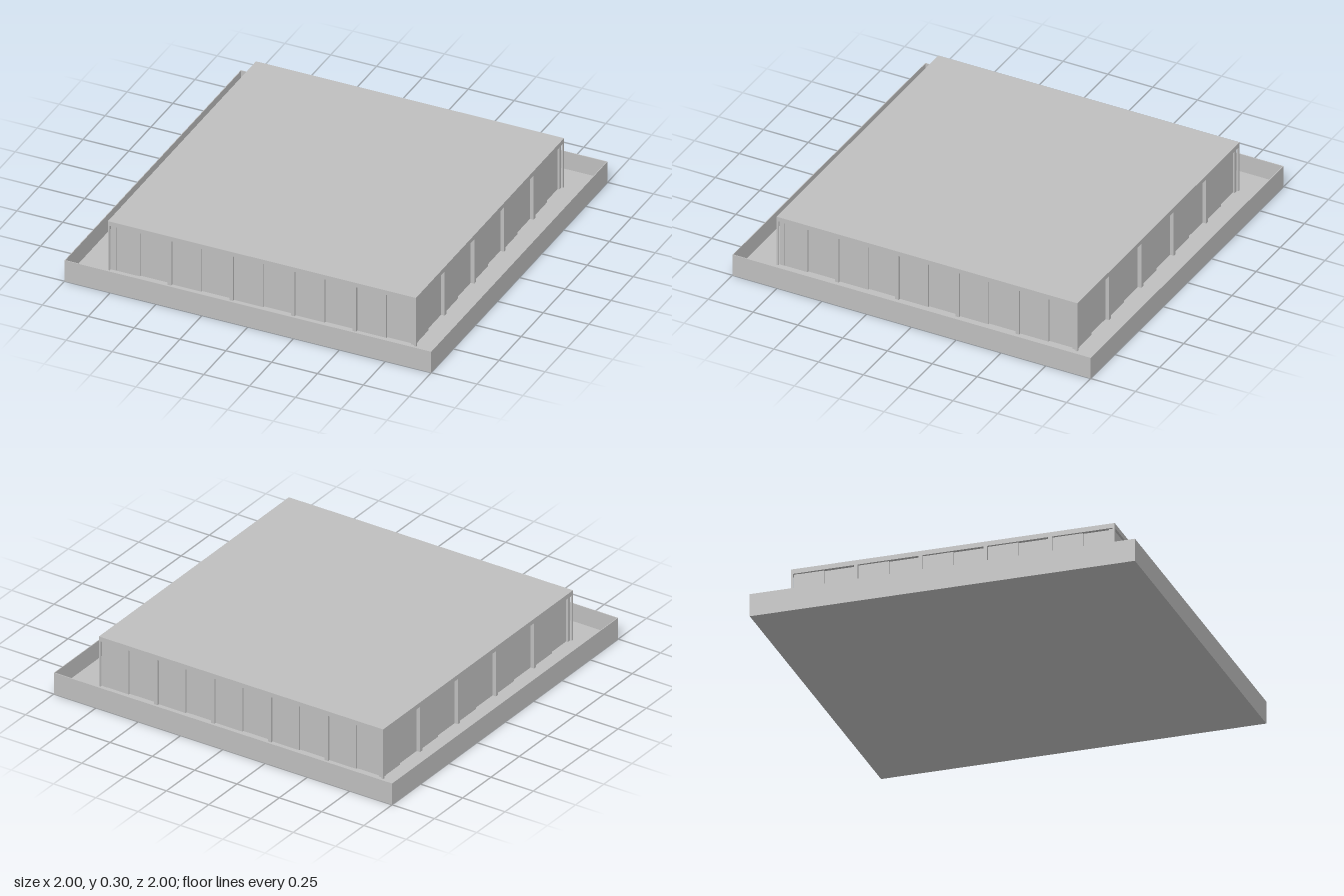
import * as THREE from 'three';

export function createModel() {
  const model = new THREE.Group();
  const grey = new THREE.MeshStandardMaterial({ color: 0xbfbfbf });
  grey.name = 'light grey';

  const box = (parent, name, w, h, d, x, y, z) => {
    const mesh = new THREE.Mesh(new THREE.BoxGeometry(w, h, d), grey);
    mesh.name = name;
    mesh.position.set(x, y + h / 2, z);
    parent.add(mesh);
  };

  const floorY = 0.02, eaveY = 0.275, topY = 0.3, half = 0.84;
  const frame = 0.01, bays = 5, bayWidth = (2 * half) / bays;
  const storey = eaveY - floorY;

  // Terrace, solid core and roof
  box(model, 'terraceFloor', 2, floorY, 2, 0, 0, 0);
  box(model, 'core', 1.62, storey, 1.62, 0, floorY, 0);
  box(model, 'roof', 2 * half, topY - eaveY, 2 * half, 0, eaveY, 0);

  // Four identical sides
  for (let s = 0; s < 4; s++) {
    const side = new THREE.Group();
    side.name = 'side' + (s + 1);
    side.rotation.y = s * Math.PI / 2;
    model.add(side);

    // Thin parapet around the terrace
    box(side, 'parapet', 2, 0.12 - floorY, 0.004, 0, floorY, 0.998);

    // Posts between the bays; one corner post per side
    for (let i = 1; i < bays; i++) {
      box(side, 'post', 2 * frame, storey, 0.04, -half + i * bayWidth, floorY, half - 0.02);
    }
    box(side, 'cornerPost', frame, storey, frame, half - frame / 2, floorY, half - frame / 2);

    // Each bay holds two sliding panels, one set slightly behind the other
    for (let i = 0; i < bays; i++) {
      const x = -half + (i + 0.5) * bayWidth;
      const w = bayWidth / 2 - frame;
      box(side, 'frontPanel', w, storey, 0.02, x - w / 2, floorY, 0.818);
      box(side, 'rearPanel', w, storey, 0.02, x + w / 2, floorY, 0.81);
    }
  }
  return model;
}
